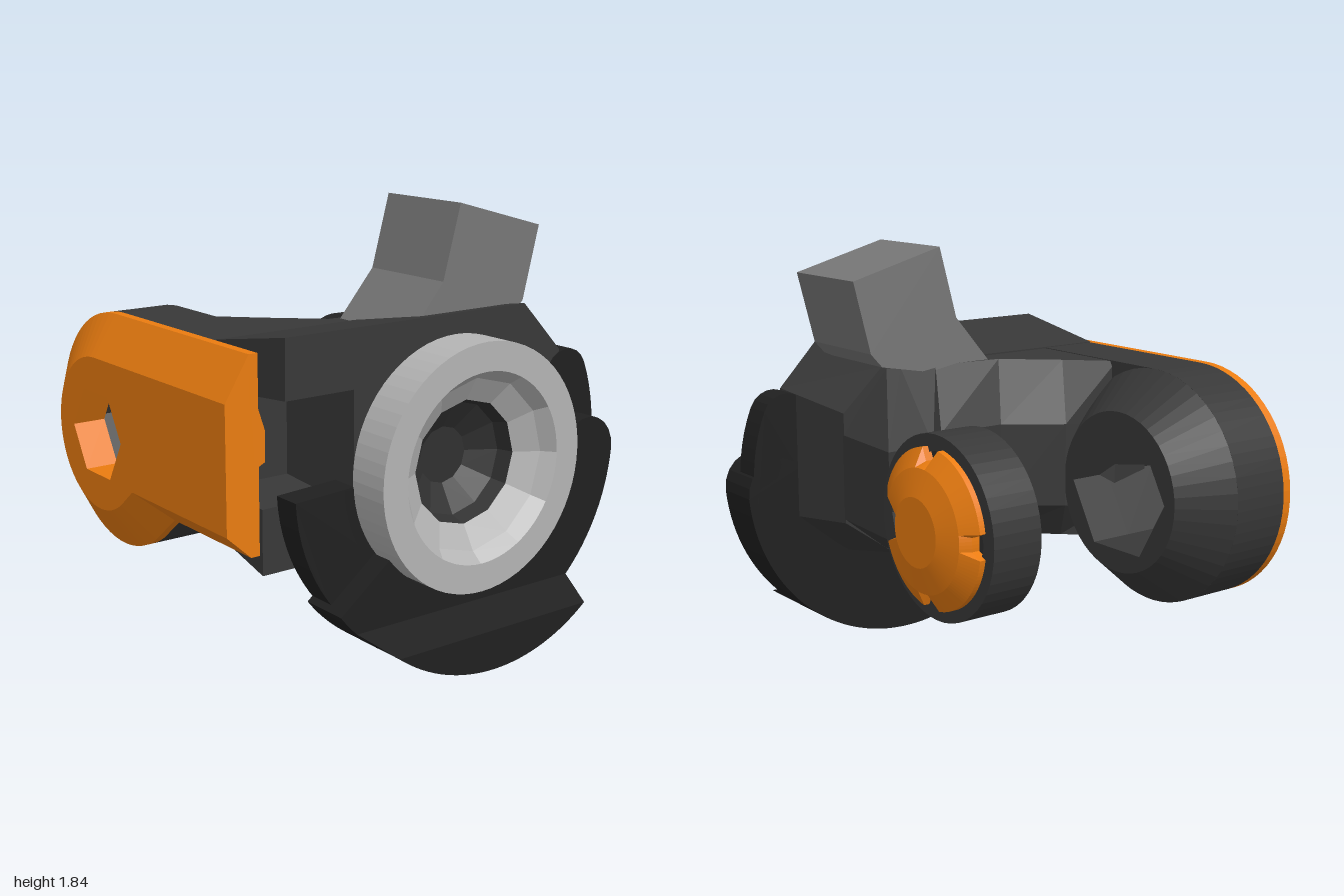
import * as THREE from 'three';

const mat = (color, side = THREE.FrontSide) =>
  new THREE.MeshStandardMaterial({ color, flatShading: true, side });
const DARK = mat(0x383838), BLACK = mat(0x202020), ORANGE = mat(0xea7c10);
const STEEL = mat(0xb4b4b4, THREE.DoubleSide), GREY = mat(0x777777);
const DARK2 = mat(0x303030, THREE.DoubleSide), ORANGE2 = mat(0xea7c10, THREE.DoubleSide);

const AY = 0.82, AZ = -0.485;  // pivot axis of both arms
const CX = 0.08, CY = 0.82;    // centre of the front ring

const V = (pts) => pts.map(([x, y]) => new THREE.Vector2(x, y));
const circle = (cx, cy, r, n) => Array.from({ length: n }, (_, i) => {
  const a = (i / n) * Math.PI * 2;
  return [cx + r * Math.cos(a), cy + r * Math.sin(a)];
});
const arc = (cx, cy, r, a0, a1, n) => Array.from({ length: n + 1 }, (_, i) => {
  const a = THREE.MathUtils.degToRad(a0 + ((a1 - a0) * i) / n);
  return [cx + r * Math.cos(a), cy + r * Math.sin(a)];
});

// Joins counterclockwise outlines [z, points] along z and closes the ends
function loft(sections, { hole, openBack = false } = {}) {
  const pos = [];
  const put = (z, p) => pos.push(p[0], p[1], z);
  for (let s = 0; s + 1 < sections.length; s++) {
    const [z0, a] = sections[s], [z1, b] = sections[s + 1];
    a.forEach((_, i) => {
      const j = (i + 1) % a.length;
      put(z0, a[i]); put(z0, a[j]); put(z1, b[j]);
      put(z0, a[i]); put(z1, b[j]); put(z1, b[i]);
    });
  }
  [sections[0], sections[sections.length - 1]].forEach(([z, pts], end) => {
    if (openBack && !end) return;
    const holes = hole ? [hole.slice().reverse()] : [];
    const all = pts.concat(...holes);
    for (const f of THREE.ShapeUtils.triangulateShape(V(pts), holes.map(V)))
      (end ? f : [f[0], f[2], f[1]]).forEach((k) => put(z, all[k]));
  });
  const g = new THREE.BufferGeometry();
  g.setAttribute('position', new THREE.Float32BufferAttribute(pos, 3));
  g.computeVertexNormals();
  return g;
}

function extrude(pts, z0, z1, hole) {
  const shape = new THREE.Shape(V(pts));
  if (hole) shape.holes.push(new THREE.Path(V(hole)));
  return new THREE.ExtrudeGeometry(shape, { depth: z1 - z0, bevelEnabled: false }).translate(0, 0, z0);
}

// Outline of the long arm in (z, y): round back end, level top, stepped bottom
const armOutline = (r, front) => [
  [front, AY + r], ...arc(AZ, AY, r, 90, 305, 40),
  [AZ + 0.88 * r, AY - 0.57 * r], [front, AY - 0.57 * r],
];

// Bands around the front ring: square start, rounded or square finish
function band(rin, rout, a0, a1, round = true) {
  const m = (rin + rout) / 2, t = (rout - rin) / 2;
  const [e] = arc(CX, CY, m, a1, a1, 1);
  return [
    ...arc(CX, CY, rout, a0, a1, 48),
    ...(round ? arc(e[0], e[1], t, a1, a1 + 180, 10).slice(1, -1) : []),
    ...arc(CX, CY, rin, a1, a0, 48),
  ];
}

export function createModel() {
  const root = new THREE.Group();
  const add = (name, geo, material) => {
    const m = new THREE.Mesh(geo, material);
    m.name = name;
    root.add(m);
  };
  const LEFT = -Math.PI / 2, RIGHT = Math.PI / 2;

  // Front housing, narrowing toward the back, with a pocket in one corner
  const housing = extrude([
    [-0.75, 1.42], [-0.75, 1.18], [-0.43, 1.18], [-0.43, 0.45], [0.4, 0.41],
    [0.66, 0.62], [0.66, 1.2], [0.45, 1.42],
  ], 0.25, 0.72, circle(CX, CY, 0.27, 12));
  const p = housing.attributes.position;
  for (let i = 0; i < p.count; i++) {
    if (p.getZ(i) > 0.5) continue;
    p.setY(i, 0.93 + (p.getY(i) - 0.93) * 0.83);
    if (p.getX(i) > 0.4) p.setX(i, p.getX(i) * 0.94);
  }
  housing.computeVertexNormals();
  add('frontHousing', housing, DARK);
  add('pocketFloor', extrude([[0.25, 0.53], [0.56, 0.45], [0.56, 0.72], [0.25, 0.74]], 0.42, 0.75)
    .rotateY(LEFT), DARK);
  add('pocketInsert', extrude([
    [-0.76, 1.18], [-0.76, 0.7], [-0.72, 0.84], [-0.66, 0.87], [-0.66, 1.0], [-0.71, 1.15],
  ], 0.24, 0.45), ORANGE);

  // Fork bridge behind the housing, as plans (x, -z) stacked in height
  const wide = [[-0.7, -0.27], [0.62, -0.27], [0.65, 0.14], [0.43, 0.14], [0.27, -0.03],
    [-0.05, -0.03], [-0.28, 0.14], [-0.5, 0.22], [-0.7, 0.2]];
  const narrow = [[-0.7, -0.27], [0.42, -0.27], [0.42, -0.22], [0.36, -0.2], [0.2, -0.17],
    [-0.12, -0.14], [-0.33, 0.05], [-0.5, 0.22], [-0.7, 0.2]];
  add('forkBridge', loft([[0.53, narrow], [0.69, wide], [1.06, wide], [1.33, narrow]])
    .rotateX(-Math.PI / 2), DARK);

  // Long arm: flat slab, conical inner boss and a six-sided bore
  const bore = circle(AZ, AY, 0.21, 6), mouth = circle(AZ, AY, 0.29, 6);
  add('longArm', extrude(armOutline(0.513, 0.27), 0.48, 0.75, mouth).rotateY(LEFT), DARK);
  add('longArmBoss', new THREE.CylinderGeometry(0.513, 0.35, 0.2, 48, 1, true)
    .rotateZ(Math.PI / 2).translate(-0.38, AY, AZ), DARK);
  add('longArmBossFace', extrude(circle(AZ, AY, 0.35, 48), 0.28, 0.48, mouth).rotateY(LEFT), DARK);

  // Coloured side cover with a sloped rim and a smaller bore
  add('sideCover', loft([
    [0.75, armOutline(0.513, 0.54)], [0.79, armOutline(0.513, 0.54)], [0.9, armOutline(0.335, 0.54)],
  ], { hole: bore }).rotateY(LEFT), ORANGE);
  add('sideCoverBore', new THREE.CylinderGeometry(0.21, 0.21, 0.15, 6, 1, true)
    .rotateZ(Math.PI / 2).translate(-0.825, AY, AZ), ORANGE2);

  // Short arm ends in an open ring
  add('shortArmRing', extrude(circle(-AZ, AY, 0.375, 48), 0.435, 0.66, circle(-AZ, AY, 0.31, 12))
    .rotateY(RIGHT), DARK);

  // Domed shell cap with three small notches and one wide slot
  const capOutline = (limit) => Array.from({ length: 120 }, (_, i) => {
    const deg = i * 3;
    let r = 0.325;
    if (Math.abs(deg - 180) < 21) r = 0.14;
    else if ([0, 90, 270, 360].some((c) => Math.abs(deg - c) < 8)) r = 0.27;
    r = Math.min(r, limit);
    const a = THREE.MathUtils.degToRad(deg);
    return [-AZ + r * Math.cos(a), AY + r * Math.sin(a)];
  });
  add('pivotCap', loft([
    [0.65, capOutline(0.4)], [0.685, capOutline(0.4)], [0.73, capOutline(0.25)], [0.76, capOutline(0.14)],
  ], { openBack: true }).rotateY(RIGHT), ORANGE);

  // Front ring, faceted funnel and dark recessed dish
  const lathe = (name, pts, seg, material) => add(name, new THREE.LatheGeometry(V(pts), seg)
    .rotateX(Math.PI / 2).translate(CX, CY, 0), material);
  lathe('frontRing', [[0.4, 0.72], [0.515, 0.72], [0.515, 0.91], [0.395, 0.91]], 64, STEEL);
  lathe('ringFunnel', [[0.41, 0.91], [0.36, 0.85], [0.26, 0.79]], 12, STEEL);
  lathe('ringDish', [[0.262, 0.79], [0.24, 0.72], [0.12, 0.65], [0, 0.65]], 12, DARK2);

  // Lower guard: thin band, filler behind the ring, thicker band and protruding lip
  add('guardBand', extrude(band(0.56, 0.79, 183, 383), 0.6, 0.725), BLACK);
  add('guardFiller', extrude(band(0.3, 0.6, 183, 345, false), 0.6, 0.724), BLACK);
  add('guardOuterBand', extrude(band(0.52, 0.82, 218, 355), 0.6, 0.82), BLACK);
  const lip = (y) => {
    const half = THREE.MathUtils.radToDeg(Math.acos((CY - y) / 0.82));
    return arc(CX, CY, 0.82, 270 - half, 270 + half, 32);
  };
  add('guardLip', loft([[0.8, lip(0.235)], [1.0, lip(0.17)]]), BLACK);

  // Tilted block on top with a sloped foot
  add('topBlock', extrude([
    [-0.08, 1.325], [0.1, 1.28], [0.48, 1.35], [0.535, 1.41], [0.615, 1.72], [0.18, 1.84], [0.095, 1.53],
  ], 0.16, 0.62), GREY);

  return root;
}
